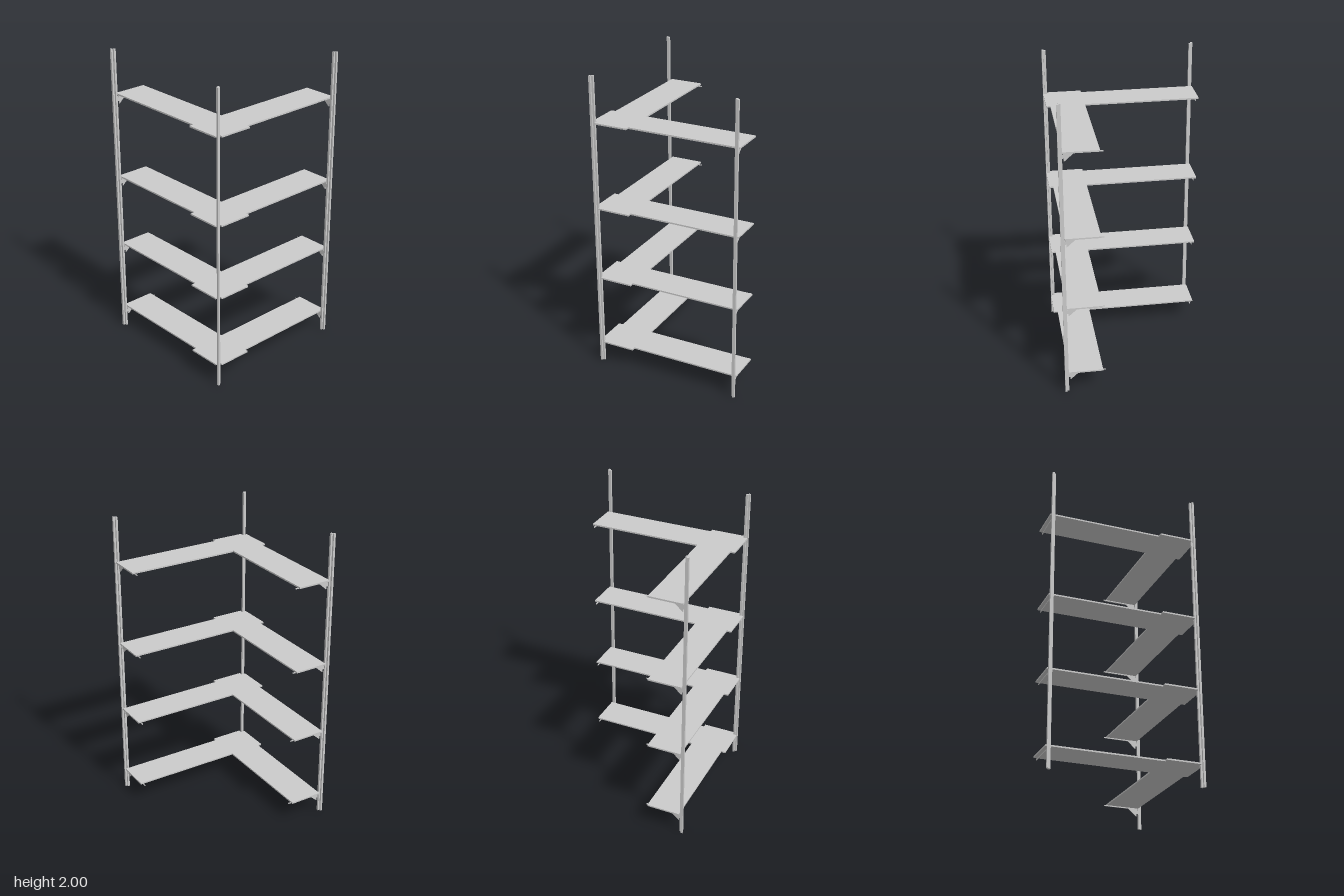
import * as THREE from 'three';

const material = new THREE.MeshStandardMaterial({ color: 0xcccccc, flatShading: true });

// Extrudes an outline given as [a, b] pairs
function extrude(name, points, depth) {
  const shape = new THREE.Shape(points.map(([a, b]) => new THREE.Vector2(a, b)));
  const mesh = new THREE.Mesh(
    new THREE.ExtrudeGeometry(shape, { depth, bevelEnabled: false }), material);
  mesh.name = name;
  return mesh;
}

// Upright with a stepped section: outer corner bar joined to an inner bar
function makePost(sx, sz) {
  const a = 0.5, b = 0.486, c = 0.488, d = 0.474;
  const outline = [[a, a], [b, a], [b, c], [d, c], [d, d], [c, d], [c, b], [a, b]]
    .map(([x, z]) => [x * sx, -z * sz]);
  const post = extrude('post', outline, 2);
  post.rotation.x = -Math.PI / 2;
  return post;
}

// L-shaped board, notched around the corner post
function makeShelf(top) {
  const outline = [
    [-0.5, 0.247], [0.25, 0.247], [0.25, -0.5], [0.474, -0.5], [0.474, 0.247],
    [0.5, 0.247], [0.5, 0.47], [0.474, 0.47], [0.474, 0.5], [0.25, 0.5],
    [0.25, 0.47], [-0.5, 0.47],
  ].map(([x, z]) => [x, -z]);
  const shelf = extrude('shelf', outline, 0.01);
  shelf.rotation.x = -Math.PI / 2;
  shelf.position.y = top - 0.01;
  return shelf;
}

// Thin support arm with a triangular gusset and a tab reaching the post
function makeBracket() {
  const outline = [
    [0.23, 0], [0.23, -0.007], [0.405, -0.007], [0.46, -0.056], [0.464, -0.056],
    [0.464, -0.038], [0.478, -0.038], [0.478, -0.016], [0.47, -0.016], [0.47, 0],
  ];
  return extrude('bracket', outline, 0.005);
}

export function createModel() {
  const model = new THREE.Group();
  model.name = 'cornerShelf';

  for (const [sx, sz] of [[-1, 1], [1, 1], [1, -1]]) model.add(makePost(sx, sz));

  for (const top of [0.151, 0.635, 1.131, 1.704]) {
    model.add(makeShelf(top));

    // Bracket under the end of the rear arm
    const rear = makeBracket();
    rear.position.set(0, top - 0.01, -0.482);
    model.add(rear);

    // Bracket under the end of the side arm
    const side = makeBracket();
    side.rotation.y = -Math.PI / 2;
    side.position.set(-0.474, top - 0.01, 0);
    model.add(side);
  }
  return model;
}
